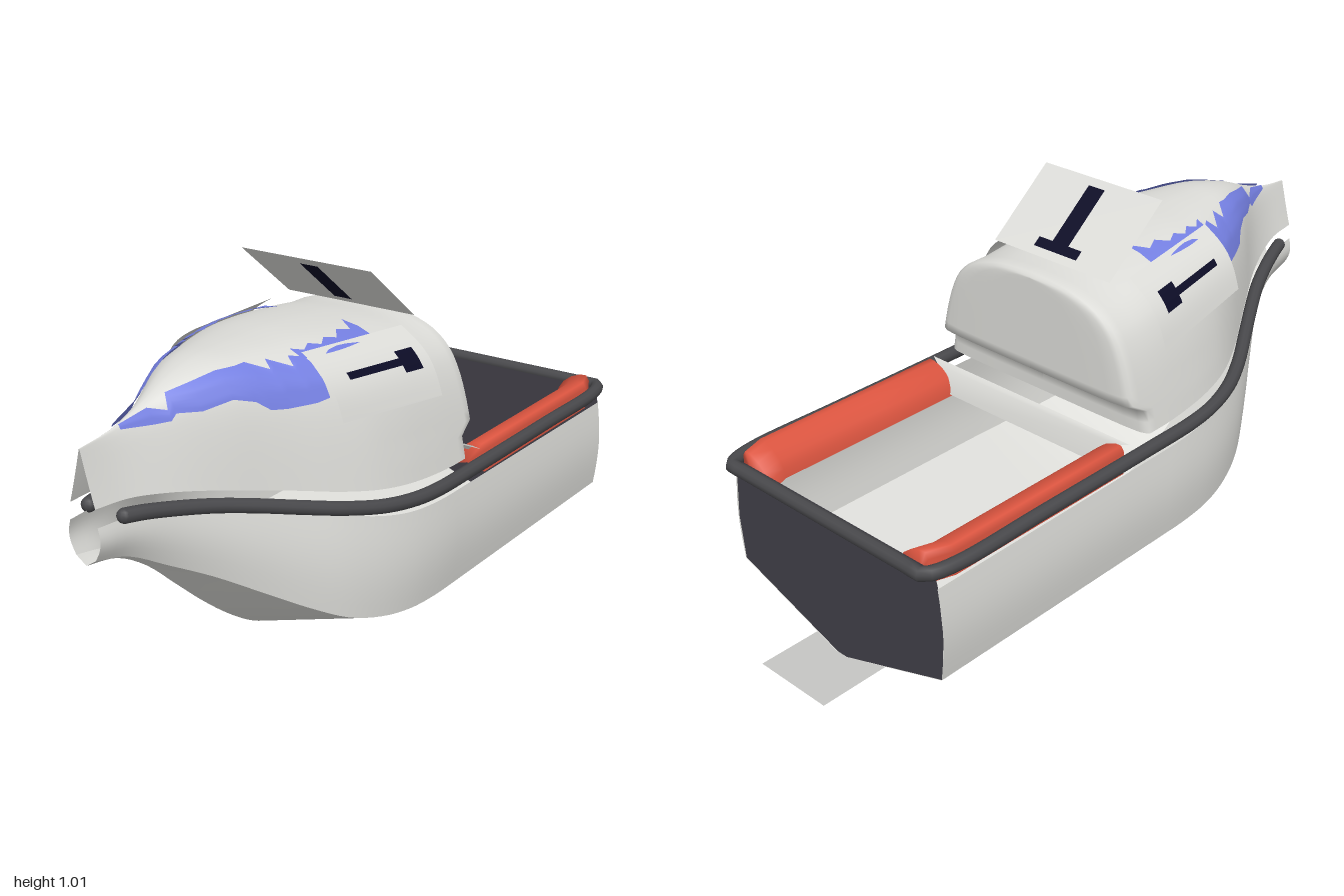
import * as THREE from 'three';

const mat = (name, color, side = THREE.DoubleSide) => {
  const m = new THREE.MeshStandardMaterial({ color, side });
  m.name = name;
  return m;
};

// Smooth lookup through a table of values at falling stations
function curve(zs, vs) {
  const n = zs.length;
  const slope = (i) => {
    const a = Math.max(0, i - 1), b = Math.min(n - 1, i + 1);
    return (vs[b] - vs[a]) / (zs[b] - zs[a]);
  };
  return (z) => {
    let i = 0;
    while (i < n - 2 && z < zs[i + 1]) i++;
    const h = zs[i + 1] - zs[i], t = THREE.MathUtils.clamp((z - zs[i]) / h, 0, 1);
    if (i === n - 2 && h < -0.5) return vs[i] + (vs[i + 1] - vs[i]) * t;
    const t2 = t * t, t3 = t2 * t;
    return (2 * t3 - 3 * t2 + 1) * vs[i] + (t3 - 2 * t2 + t) * h * slope(i)
      + (3 * t2 - 2 * t3) * vs[i + 1] + (t3 - t2) * h * slope(i + 1);
  };
}

// Skin over rows of points
function loft(rows) {
  const w = rows[0].length, index = [];
  for (let r = 0; r < rows.length - 1; r++) for (let c = 0; c < w - 1; c++) {
    const a = r * w + c, d = a + w;
    index.push(a, d, a + 1, a + 1, d, d + 1);
  }
  const g = new THREE.BufferGeometry();
  g.setAttribute('position', new THREE.Float32BufferAttribute(rows.flat(2), 3));
  g.setIndex(index);
  g.computeVertexNormals();
  return g;
}
const mirrored = (rows) => rows.map((r) => r.map(([x, y, z]) => [-x, y, z]).reverse());
const range = (a, b, n) => Array.from({ length: n + 1 }, (_, i) => a + (b - a) * i / n);

// Station tables
const Z = [1, 0.9, 0.8, 0.7, 0.6, 0.5, 0.4, 0.3, 0.2, 0.1, 0, -0.84];
const keelY = curve(Z, [0.48, 0.46, 0.4, 0.31, 0.22, 0.14, 0.075, 0.035, 0.012, 0.004, 0.002, 0.002]);
const chineY = curve(Z, [0.5, 0.475, 0.42, 0.365, 0.3, 0.235, 0.18, 0.15, 0.135, 0.13, 0.13, 0.13]);
const chineX = curve(Z, [0.03, 0.04, 0.07, 0.125, 0.19, 0.255, 0.31, 0.345, 0.365, 0.373, 0.375, 0.375]);
const sheerY = curve(Z, [0.585, 0.582, 0.57, 0.55, 0.522, 0.49, 0.46, 0.43, 0.41, 0.402, 0.4, 0.395]);
const sheerX = curve(Z, [0.042, 0.055, 0.085, 0.13, 0.185, 0.24, 0.295, 0.335, 0.36, 0.372, 0.375, 0.375]);
const baseX = curve(Z, [0.038, 0.05, 0.08, 0.122, 0.175, 0.23, 0.285, 0.328, 0.352, 0.362, 0.365, 0.365]);
const baseY = curve(Z, [0.63, 0.625, 0.61, 0.59, 0.568, 0.545, 0.52, 0.5, 0.485, 0.475, 0.47, 0.47]);
const topY = curve(Z, [0.768, 0.78, 0.81, 0.85, 0.872, 0.876, 0.876, 0.875, 0.868, 0.855, 0.84, 0.83]);

// Deck cross-section: width as a fraction, by height fraction
const PF = [0, 0.25, 0.45, 0.62, 0.76, 0.88, 0.96, 0.99, 1];
const PX = [1, 0.95, 0.9, 0.84, 0.76, 0.62, 0.4, 0.2, 0];
const backZ = curve([0, 0.2, 0.6, 0.85, 1], [-0.145, -0.115, -0.085, -0.065, -0.04]);
function profileX(f) {
  let i = 0;
  while (i < PF.length - 2 && f > PF[i + 1]) i++;
  return PX[i] + (PX[i + 1] - PX[i]) * (f - PF[i]) / (PF[i + 1] - PF[i]);
}
function deckPoint(z, f, px = profileX(f)) {
  const point = 0.9 * THREE.MathUtils.smoothstep(z, 0.6, 1);
  const lean = THREE.MathUtils.smoothstep(-z, -0.3, 0.04);
  const y0 = baseY(z);
  return [baseX(z) * px * (1 - point * f), y0 + (topY(z) - y0) * f, z + lean * (backZ(f) + 0.04)];
}
const outline = new THREE.CatmullRomCurve3(PF.map((f, i) => new THREE.Vector3(PX[i], f, 0))).getPoints(24);
function deckSection(z) {
  const half = outline.map((p) => deckPoint(z, p.y > 0.999 ? 1 : p.y, p.x));
  return [...half, ...half.slice(0, -1).reverse().map(([x, y, zz]) => [-x, y, zz])];
}

export function createModel() {
  const model = new THREE.Group();
  const white = mat('hull white', 0xdcdcd8);
  const dark = mat('transom charcoal', 0x413f48);
  const rubber = mat('rail rubber', 0x48484b);
  const red = mat('cushion red', 0xdc5540);
  const blue = mat('flash blue', 0x7580e2);
  const ink = mat('marking navy', 0x0c0c26);
  const panel = mat('panel white', 0xdededa);
  const grey = mat('fin grey', 0xc6c6c3);
  const add = (name, geometry, material) => {
    const m = new THREE.Mesh(geometry, material);
    m.name = name;
    model.add(m);
    return m;
  };
  const pair = (name, rows, material) => {
    add(name + 'Left', loft(rows), material);
    add(name + 'Right', loft(mirrored(rows)), material);
  };

  // Hull: V bottom and bulged sides
  const stations = [...range(1, 0, 40), ...range(-0.12, -0.84, 6)];
  pair('hullBottom', stations.map((z) => range(0, 1, 4).map((t) =>
    [chineX(z) * t, keelY(z) + (chineY(z) - keelY(z)) * t, z])), white);
  pair('hullSide', stations.map((z) => range(0, 1, 8).map((t) => [
    chineX(z) + (sheerX(z) - chineX(z)) * t + 0.012 * Math.sin(Math.PI * t),
    chineY(z) + (sheerY(z) - chineY(z)) * t, z])), white);

  // Transom
  const edge = [[0.375, 0.13], [0.386, 0.26], [0.375, 0.395], [0.365, 0.44]];
  const board = new THREE.Shape([[0, 0.002], ...edge, ...edge.map(([x, y]) => [-x, y]).reverse()]
    .map(([x, y]) => new THREE.Vector2(x, y)));
  add('transom', new THREE.ShapeGeometry(board).rotateY(Math.PI).translate(0, 0, -0.838), dark);

  // Deck with rounded rear wall
  const deck = range(1, -0.04, 44).map(deckSection);
  const rear = deck[deck.length - 1];
  [[0.975, 0.99, 0.008], [0.93, 0.975, 0.014], [0.8, 0.965, 0.017], [0.5, 0.96, 0.018], [0, 0.96, 0.018]]
    .forEach(([sx, sy, dz]) => deck.push(rear.map(([x, y, z]) => [x * sx, 0.47 + (y - 0.47) * sy, z - dz])));
  add('deck', loft(deck), white);
  add('deckRearSkirt', loft([
    [[0.365, 0.47, -0.146], [-0.365, 0.47, -0.146]],
    [[0.33, 0.465, -0.165], [-0.33, 0.465, -0.165]],
    [[0.26, 0.4, -0.185], [-0.26, 0.4, -0.185]]]), white);

  // Side cushions
  const roll = [[0.365, 0.395], [0.365, 0.46], [0.355, 0.475], [0.335, 0.474], [0.305, 0.462],
    [0.28, 0.442], [0.266, 0.42], [0.26, 0.395]];
  const cushion = [-0.17, -0.4, -0.77, -0.835].map((z) =>
    roll.map(([x, y]) => [x - (z < -0.8 ? 0.022 : 0), y, z]));
  const closed = (row) => row.map(() => [0.31, 0.41, row[0][2]]);
  pair('cushion', [closed(cushion[0]), ...cushion, closed(cushion[3])], red);

  // Rubbing rail around sides and stern
  const side = [[0.055, 0.592, 0.925], [0.07, 0.588, 0.88], [0.098, 0.575, 0.8], [0.14, 0.556, 0.7],
    [0.192, 0.532, 0.6], [0.247, 0.505, 0.5], [0.302, 0.48, 0.4], [0.345, 0.46, 0.3], [0.37, 0.448, 0.2],
    [0.38, 0.442, 0.1], [0.381, 0.44, -0.1], [0.381, 0.44, -0.5], [0.381, 0.44, -0.77],
    [0.366, 0.44, -0.845], [0.35, 0.44, -0.866], [0.3, 0.44, -0.866]];
  const railPath = new THREE.CatmullRomCurve3([...side, ...mirrored([side])[0]]
    .map((p) => new THREE.Vector3(...p)), false, 'centripetal');
  add('rubbingRail', new THREE.TubeGeometry(railPath, 180, 0.019, 10), rubber);
  [1, -1].forEach((s) => add('railEnd', new THREE.SphereGeometry(0.019, 10, 8), rubber)
    .position.set(s * side[0][0], side[0][1], side[0][2]));

  // Jagged flashes following the deck: station, lower height, upper height
  const flash = [[0.88, 0.772, 0.784], [0.8, 0.765, 0.802], [0.76, 0.765, 0.79], [0.745, 0.78, 0.825],
    [0.69, 0.775, 0.838], [0.62, 0.79, 0.852], [0.57, 0.775, 0.853], [0.54, 0.75, 0.855],
    [0.5, 0.745, 0.835], [0.485, 0.745, 0.852], [0.44, 0.745, 0.83], [0.425, 0.745, 0.848], [0.39, 0.75, 0.84]];
  const onDeck = (z, y) => {
    const f = (y - baseY(z)) / (topY(z) - baseY(z));
    const p = deckPoint(z, Math.min(f, 0.99));
    return [p[0] * 1.02 + 0.004, p[1] + 0.006, p[2]];
  };
  pair('flash', flash.map(([z, lo, hi]) => range(lo, hi, 8).map((y) => onDeck(z, y))), blue);
  pair('flashTail', range(0.4, 0.16, 8).map((z, i) =>
    range(0.838 - i * 0.001, 0.856 - (i % 2) * 0.007, 3).map((y) => onDeck(z, y))), blue);

  // Curved side panels with a plain dark bar
  const low = [[0.29, 0.7, 0.395], [0.34, 0.67, 0.02]], high = [[0.165, 0.857, 0.395], [0.21, 0.837, 0.02]];
  const panelPoint = (u, v, lift) => {
    const mix = (k) => THREE.MathUtils.lerp(
      THREE.MathUtils.lerp(low[0][k], low[1][k], u), THREE.MathUtils.lerp(high[0][k], high[1][k], u), v);
    const b = 0.026 * Math.sin(Math.PI * v) + lift;
    return [mix(0) + b * 0.77, mix(1) + b * 0.64, mix(2)];
  };
  const patch = (u0, u1, v0, v1, lift) =>
    range(u0, u1, 4).map((u) => range(v0, v1, 8).map((v) => panelPoint(u, v, lift)));
  pair('sidePanel', patch(0, 1, 0, 1, 0), panel);
  pair('sidePanelBar', patch(0.18, 0.75, 0.46, 0.56, 0.004), ink);
  pair('sidePanelBarEnd', patch(0.7, 0.88, 0.36, 0.66, 0.005), ink);

  // Tilted roof panel with a plain dark bar
  const roof = (x, a, b, lift) => loft([b, a].map((t) => [x, -x].map((xx) =>
    [xx, 0.845 + 0.165 * t + lift, -0.05 + 0.205 * t - lift])));
  add('roofPanel', roof(0.205, 0, 1, 0), panel);
  add('roofPanelBar', roof(0.028, 0.14, 0.9, 0.003), ink);
  add('roofPanelBarFoot', roof(0.075, 0.09, 0.2, 0.003), ink);
  add('roofPanelBarBack', roof(0.028, 0.14, 0.9, -0.003), ink);

  // Flat plate below the stern
  add('sternPlate', new THREE.PlaneGeometry(0.24, 0.27).rotateX(-Math.PI / 2).translate(0, 0.008, -0.865), grey);

  return model;
}
